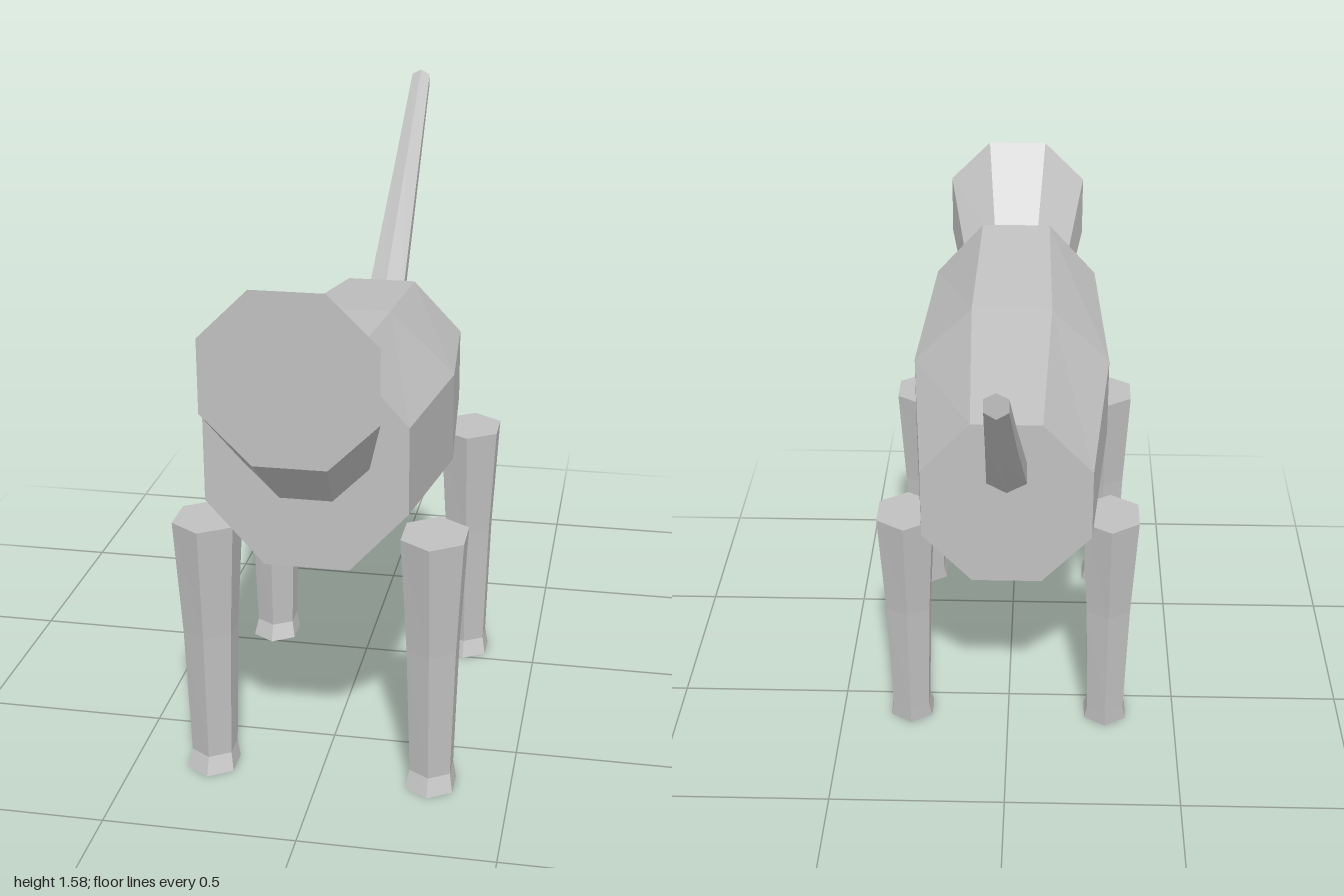
import * as THREE from 'three';

// Skin a list of equal-sized rings (each counter-clockwise seen from the first end), with flat caps
function loft(rings) {
  const pos = [];
  const tri = (a, b, c) => pos.push(...a, ...b, ...c);
  const n = rings[0].length;
  for (let r = 0; r < rings.length - 1; r++) {
    const A = rings[r], B = rings[r + 1];
    for (let i = 0; i < n; i++) {
      const j = (i + 1) % n;
      tri(A[i], B[i], B[j]);
      tri(A[i], B[j], A[j]);
    }
  }
  const first = rings[0], last = rings[rings.length - 1];
  for (let i = 1; i < n - 1; i++) {
    tri(first[0], first[i], first[i + 1]);
    tri(last[0], last[i + 1], last[i]);
  }
  const geo = new THREE.BufferGeometry();
  geo.setAttribute('position', new THREE.Float32BufferAttribute(pos, 3));
  geo.computeVertexNormals();
  return geo;
}

// Octagonal section: z, half width, half flat, then heights from bottom to top
const octagon = ([z, w, f, y0, y1, y2, y3]) => [
  [w, y1, z], [w, y2, z], [f, y3, z], [-f, y3, z],
  [-w, y2, z], [-w, y1, z], [-f, y0, z], [f, y0, z],
];

// Upright hexagonal section of the tail, pointed at top and bottom
const tailHexagon = ([z, w, y0, y1, y2, y3]) => [
  [w, y1, z], [w, y2, z], [0, y3, z], [-w, y2, z], [-w, y1, z], [0, y0, z],
];

// Level hexagonal section of a leg, pointed at front and back
const legHexagon = ([y, w, r, dz]) => [
  [0, y, dz + r], [w, y, dz + r / 2], [w, y, dz - r / 2],
  [0, y, dz - r], [-w, y, dz - r / 2], [-w, y, dz + r / 2],
];

export function createModel() {
  const model = new THREE.Group();
  model.name = 'animal';
  const grey = new THREE.MeshStandardMaterial({ color: 0xc0c0c0 });
  grey.name = 'light grey';
  grey.flatShading = true;

  const add = (name, geo, x = 0, z = 0) => {
    const mesh = new THREE.Mesh(geo, grey);
    mesh.name = name;
    mesh.position.set(x, 0, z);
    model.add(mesh);
  };

  // Barrel-shaped body
  add('body', loft([
    [0.83, 0.25, 0.105, 0.67, 0.83, 1.05, 1.21],
    [0.30, 0.287, 0.117, 0.59, 0.76, 1.0, 1.165],
    [-0.25, 0.235, 0.097, 0.59, 0.735, 0.94, 1.085],
  ].map(octagon)));

  // Head flaring forward from the body
  add('head', loft([
    [1.0, 0.21, 0.088, 1.0, 1.12, 1.30, 1.42],
    [0.83, 0.155, 0.065, 0.85, 0.94, 1.065, 1.155],
  ].map(octagon)));

  // Raised, tapering tail
  add('tail', loft([
    [-0.25, 0.055, 0.875, 0.905, 0.97, 1.0],
    [-0.7, 0.038, 1.245, 1.27, 1.32, 1.343],
    [-1.0, 0.028, 1.51, 1.527, 1.56, 1.575],
  ].map(tailHexagon)));

  // Four legs with slightly flared feet
  const legGeo = loft([
    [0.71, 0.079, 0.105, 0],
    [0.4, 0.063, 0.079, 0.002],
    [0.045, 0.053, 0.067, 0.002],
    [0, 0.062, 0.078, 0.014],
  ].map(legHexagon));
  for (const [side, x] of [['Left', 0.292], ['Right', -0.292]]) {
    add('front' + side + 'Leg', legGeo, x, 0.668);
    add('back' + side + 'Leg', legGeo, x, -0.083);
  }
  return model;
}
